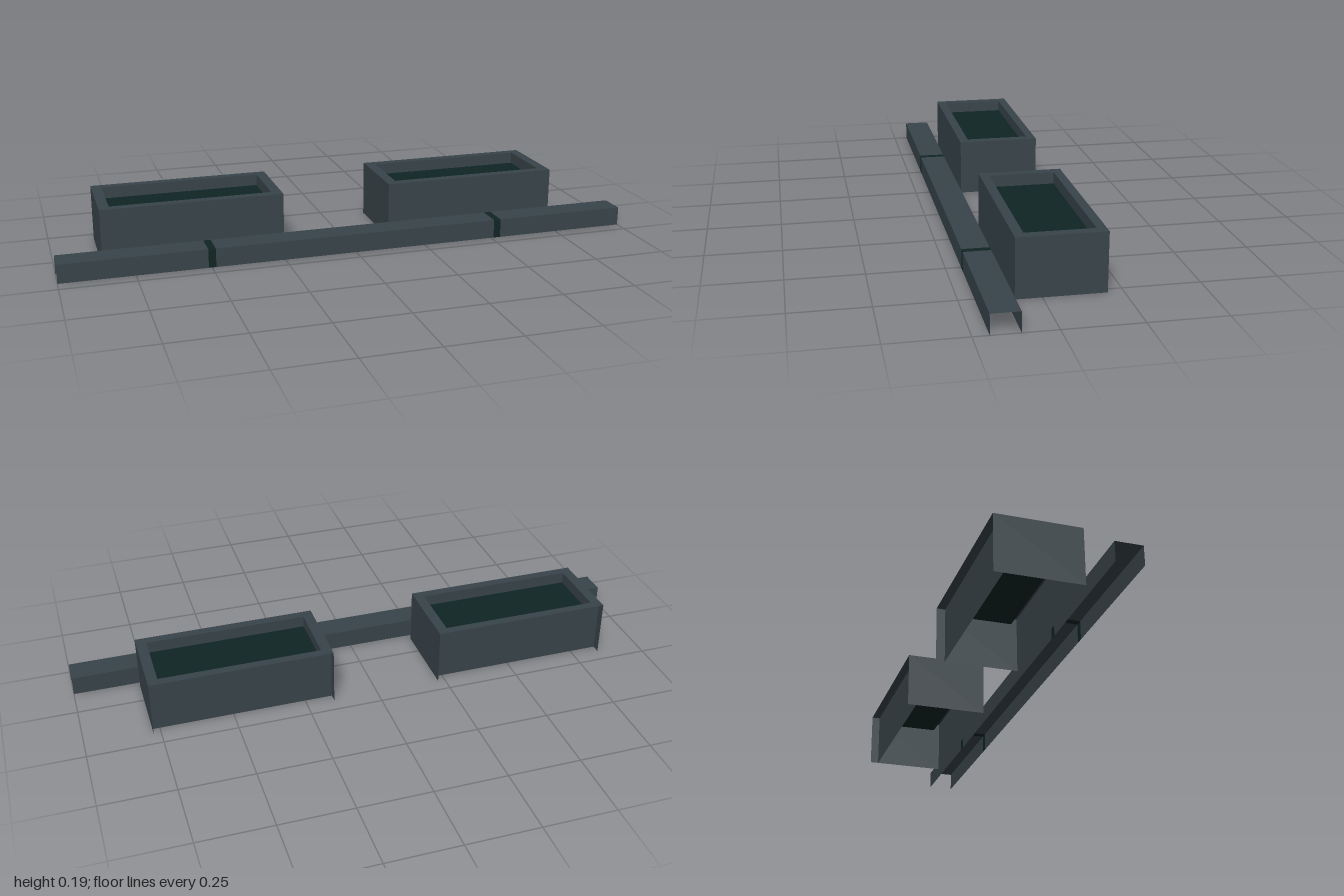
import * as THREE from 'three';

const steel = new THREE.MeshStandardMaterial({ color: 0x38444a, side: THREE.DoubleSide });
steel.name = 'slate steel';
const dark = new THREE.MeshStandardMaterial({ color: 0x0e2423, side: THREE.DoubleSide });
dark.name = 'dark green';

// Thin sheets: facing z, facing x, and lying flat
function add(group, name, geometry, material) {
  const mesh = new THREE.Mesh(geometry, material);
  mesh.name = name;
  group.add(mesh);
}
const sheetZ = (x0, x1, y0, y1, z) =>
  new THREE.PlaneGeometry(x1 - x0, y1 - y0).translate((x0 + x1) / 2, (y0 + y1) / 2, z);
const sheetX = (x, y0, y1, z0, z1) =>
  new THREE.PlaneGeometry(z1 - z0, y1 - y0).rotateY(Math.PI / 2).translate(x, (y0 + y1) / 2, (z0 + z1) / 2);
const sheetY = (x0, x1, y, z0, z1) =>
  new THREE.PlaneGeometry(x1 - x0, z1 - z0).rotateX(-Math.PI / 2).translate((x0 + x1) / 2, y, (z0 + z1) / 2);

// Open tray with a flat rim, a sunken bed and a recessed back wall
function makeTray(name, centreX) {
  const tray = new THREE.Group();
  tray.name = name;
  const hw = 0.31, iw = 0.275, top = 0.195, bed = 0.155;
  const back = -0.2, front = 0.084, innerBack = -0.17, innerFront = 0.052;

  const outline = new THREE.Shape([[-hw, -front], [hw, -front], [hw, -back], [-hw, -back]]
    .map(p => new THREE.Vector2(...p)));
  outline.holes.push(new THREE.Path([[-iw, -innerFront], [-iw, -innerBack], [iw, -innerBack], [iw, -innerFront]]
    .map(p => new THREE.Vector2(...p))));
  add(tray, 'rim', new THREE.ShapeGeometry(outline).rotateX(-Math.PI / 2).translate(0, top, 0), steel);

  add(tray, 'frontWall', sheetZ(-hw, hw, 0, top, front), steel);
  add(tray, 'backWall', sheetZ(-hw, hw, 0, top, innerBack), steel);
  add(tray, 'innerFrontWall', sheetZ(-iw, iw, bed, top, innerFront), steel);
  for (const s of [-1, 1]) {
    add(tray, 'sideWall', sheetX(s * hw, 0, top, back, front), steel);
    add(tray, 'innerSideWall', sheetX(s * iw, bed, top, innerBack, innerFront), steel);
  }
  add(tray, 'bed', sheetY(-iw, iw, bed, innerBack, innerFront), dark);
  tray.position.x = centreX;
  return tray;
}

// Length of inverted channel, open at the ends and underneath
function makeChannel(name, x0, x1, material) {
  const channel = new THREE.Group();
  channel.name = name;
  const top = 0.065, back = 0.11, front = 0.2;
  add(channel, 'channelTop', sheetY(x0, x1, top, back, front), material);
  add(channel, 'channelFront', sheetZ(x0, x1, 0, top, front), material);
  add(channel, 'channelBack', sheetZ(x0, x1, 0, top, back), material);
  return channel;
}

export function createModel() {
  const model = new THREE.Group();
  model.name = 'traysAndRail';
  model.add(makeTray('rightTray', -0.535), makeTray('leftTray', 0.465));

  // Rail sections alternate with dark joints
  const cuts = [-1, -0.511, -0.486, 0.509, 0.534, 1];
  for (let i = 0; i < cuts.length - 1; i++) {
    const joint = i % 2 === 1;
    model.add(makeChannel(joint ? 'railJoint' : 'railSection', cuts[i], cuts[i + 1], joint ? dark : steel));
  }
  return model;
}
